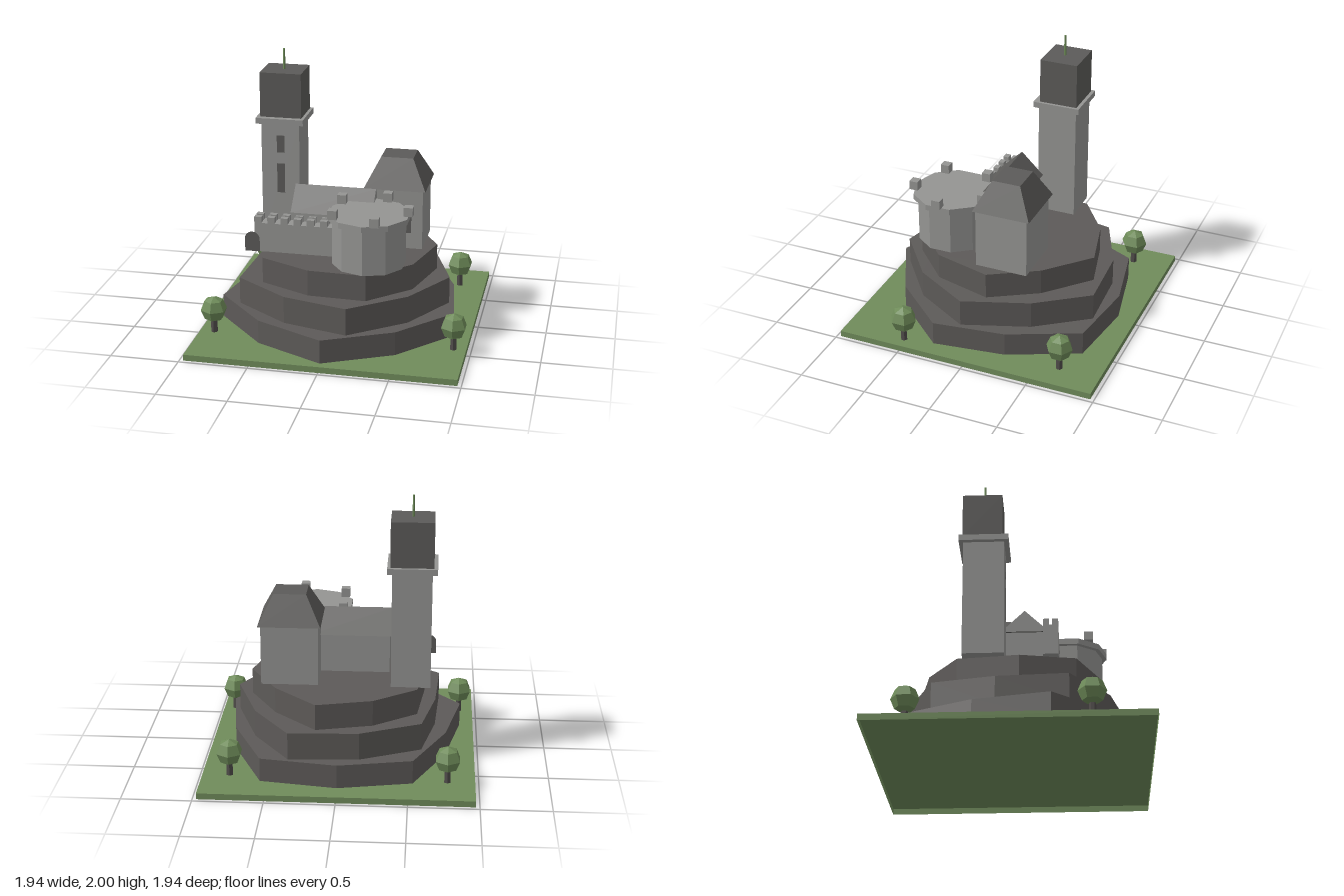
import * as THREE from 'three';

const mat = (name, color, side = THREE.FrontSide) => {
  const m = new THREE.MeshStandardMaterial({ color, side, flatShading: true });
  m.name = name;
  return m;
};

export function createModel() {
  const model = new THREE.Group();
  const grass = mat('grass', 0x708c5b, THREE.DoubleSide);
  const leaf = mat('leaf', 0x6e8b59);
  const rock = mat('rock', 0x5d5a58);
  const stone = mat('stone', 0x949492);
  const slate = mat('slate', 0x5c5b59);
  const opening = mat('opening', 0x5c5b59, THREE.DoubleSide);
  const bark = mat('bark', 0x504c4a);

  const add = (name, geometry, material, x = 0, y = 0, z = 0, parent = model) => {
    const mesh = new THREE.Mesh(geometry, material);
    mesh.name = name;
    mesh.position.set(x, y, z);
    parent.add(mesh);
    return mesh;
  };
  // box given by its limits on each axis
  const block = (name, material, [x0, x1], [y0, y1], [z0, z1], parent = model) =>
    add(name, new THREE.BoxGeometry(x1 - x0, y1 - y0, z1 - z0), material,
      (x0 + x1) / 2, (y0 + y1) / 2, (z0 + z1) / 2, parent);
  const group = (name) => {
    const g = new THREE.Group();
    g.name = name;
    model.add(g);
    return g;
  };

  // ground tray, hollow and open underneath (the box's bottom face is dropped)
  const tray = new THREE.BoxGeometry(1.944, 0.045, 1.944);
  tray.setIndex([...tray.index.array].filter((_, i) => i < 18 || i >= 24));
  tray.clearGroups();
  add('ground', tray, grass, 0, 0.0225, 0);

  // three stepped rock terraces, outlines as x, z
  const terraces = [
    [0.045, 0.22, [[0, -0.835], [0.55, -0.757], [0.78, -0.25], [0.85, 0.28], [0.49, 0.68],
      [0, 0.917], [-0.5, 0.68], [-0.87, 0.28], [-0.76, -0.25], [-0.53, -0.73]]],
    [0.22, 0.42, [[0.35, -0.757], [0.62, -0.385], [0.79, 0.09], [0.55, 0.5], [0.16, 0.8],
      [-0.31, 0.68], [-0.708, 0.4], [-0.68, -0.1], [-0.585, -0.54], [-0.15, -0.73]]],
    [0.42, 0.61, [[0.16, -0.687], [0.47, -0.4], [0.673, -0.06], [0.56, 0.36], [0.27, 0.637],
      [-0.15, 0.62], [-0.52, 0.45], [-0.598, 0.06], [-0.55, -0.37], [-0.24, -0.59]]],
  ];
  for (const [y0, y1, outline] of terraces) {
    const shape = new THREE.Shape(outline.map(([x, z]) => new THREE.Vector2(x, -z)));
    const g = new THREE.ExtrudeGeometry(shape, { depth: y1 - y0, bevelEnabled: false });
    // start just above the ground sheet so its underside stays clear
    add('terrace', g.rotateX(-Math.PI / 2), rock, 0, y0 + 0.001, 0);
  }

  // tall square tower
  const tall = group('tallTower');
  block('shaft', stone, [-0.641, -0.357], [0.61, 1.47], [-0.332, -0.042], tall);
  block('collar', stone, [-0.677, -0.322], [1.47, 1.513], [-0.363, -0.011], tall);
  block('towerCap', slate, [-0.651, -0.344], [1.513, 1.845], [-0.338, -0.055], tall);
  add('spire', new THREE.CylinderGeometry(0.007, 0.011, 0.155, 6), leaf, -0.498, 1.9225, -0.187, tall);
  for (const [y0, y1] of [[0.94, 1.165], [1.25, 1.38]])
    block('window', opening, [-0.526, -0.468], [y0, y1], [-0.042, -0.04], tall);

  // gabled hall: roof prism with stone gable ends
  block('hallWalls', stone, [-0.34, 0.225], [0.61, 0.9], [-0.06, 0.24]);
  const gable = new THREE.Shape([[-0.26, 0.9], [0.08, 0.9], [-0.09, 1.063]]
    .map(([a, b]) => new THREE.Vector2(a, b)));
  const hallRoof = new THREE.ExtrudeGeometry(gable, { depth: 0.595, bevelEnabled: false });
  add('hallRoof', hallRoof.rotateY(Math.PI / 2), [stone, slate], -0.355, 0, 0);

  // square house with flat-topped hip roof
  const house = group('house');
  block('houseWalls', stone, [0.165, 0.577], [0.61, 1.055], [-0.33, 0.058], house);
  const hip = new THREE.BoxGeometry(0.452, 0.215, 0.43);
  const p = hip.attributes.position;
  for (let i = 0; i < p.count; i++)
    if (p.getY(i) > 0) p.setXYZ(i, p.getX(i) * 0.52, p.getY(i), p.getZ(i) * 0.49);
  hip.computeVertexNormals();
  add('hipRoof', hip, slate, 0.371, 1.1625, -0.14, house);
  for (const x of [0.37, 0.47])
    block('window', opening, [x - 0.025, x + 0.025], [0.73, 0.9], [0.058, 0.06], house);

  // ten-sided tower with five merlons
  const round = group('roundTower');
  const cx = 0.245, cz = 0.376;
  add('drum', new THREE.CylinderGeometry(0.265, 0.265, 0.335, 10), stone, cx, 0.7775, cz, round);
  add('drumCollar', new THREE.CylinderGeometry(0.298, 0.298, 0.042, 10), stone, cx, 0.965, cz, round);
  for (let i = 0; i < 5; i++) {
    const a = (i * Math.PI * 2) / 5;
    add('merlon', new THREE.BoxGeometry(0.064, 0.066, 0.064), stone,
      cx + 0.282 * Math.cos(a), 1.019, cz + 0.282 * Math.sin(a), round);
  }

  // curtain wall with a double row of merlons
  const wall = group('curtainWall');
  block('wall', stone, [-0.608, 0.02], [0.61, 0.83], [0.224, 0.33], wall);
  for (let i = 0; i < 7; i++) {
    const x = -0.608 + i * 0.097;
    for (const z of [0.224, 0.288])
      block('wallMerlon', stone, [x, x + 0.053], [0.83, 0.875], [z, z + 0.042], wall);
  }

  // flat arched gate
  const arch = new THREE.Shape();
  arch.moveTo(-0.055, 0);
  arch.lineTo(0.055, 0);
  arch.lineTo(0.055, 0.095);
  arch.absarc(0, 0.095, 0.055, 0, Math.PI, false);
  add('gate', new THREE.ShapeGeometry(arch, 6), opening, -0.624, 0.61, 0.334);

  // corner trees
  for (const [x, z] of [[-0.775, -0.69], [0.775, -0.665], [-0.865, 0.55], [0.88, 0.5]]) {
    const tree = group('tree');
    tree.position.set(x, 0, z);
    add('trunk', new THREE.CylinderGeometry(0.022, 0.025, 0.109, 6), bark, 0, 0.1005, 0, tree);
    add('crown', new THREE.SphereGeometry(0.098, 6, 4).rotateY(Math.PI / 6), leaf, 0, 0.223, 0, tree);
  }

  return model;
}
